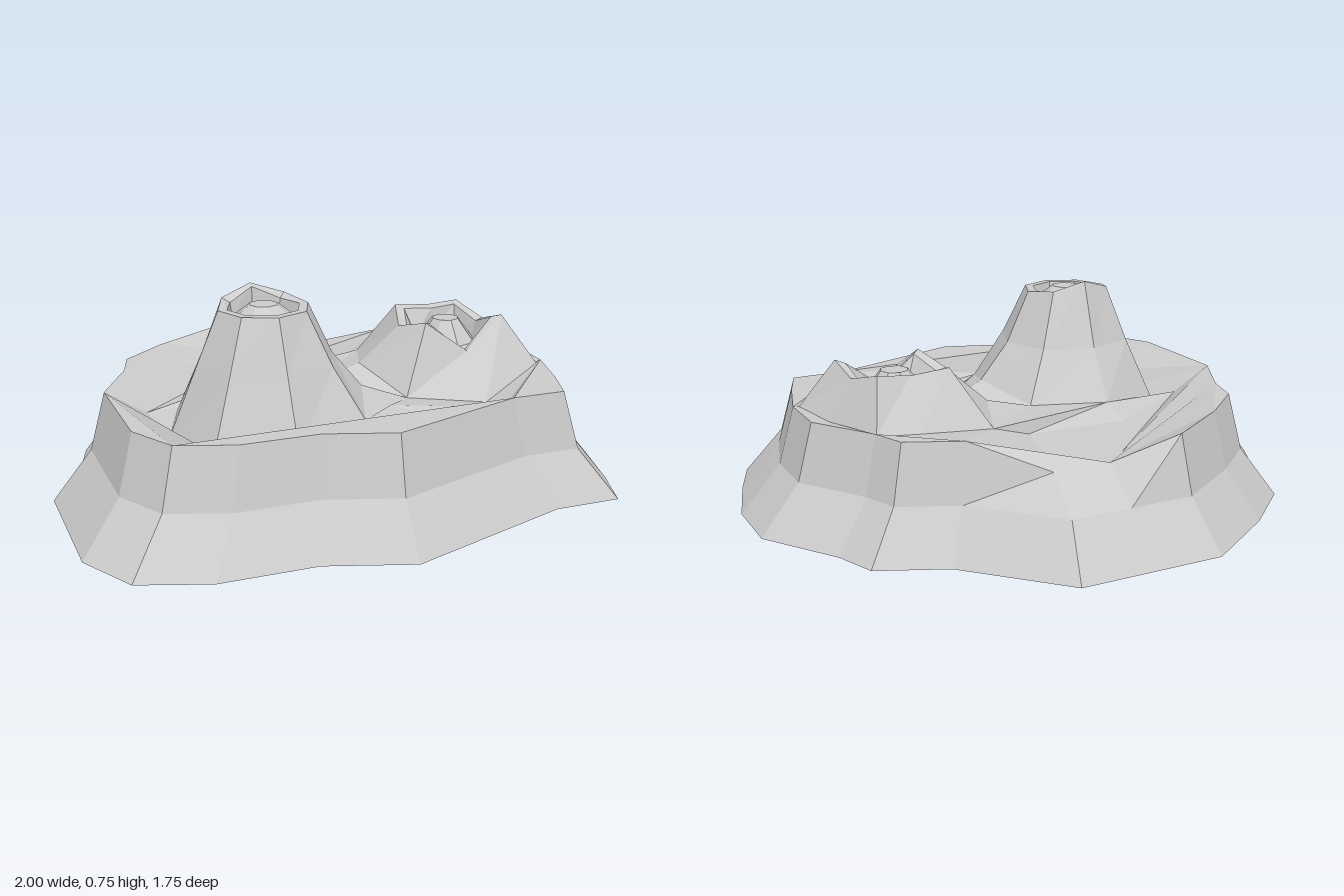
import * as THREE from 'three';

const material = new THREE.MeshStandardMaterial({ color: 0xcccccc, flatShading: true, side: THREE.DoubleSide });

function facetMesh(name, triangles) {
  const geometry = new THREE.BufferGeometry();
  geometry.setAttribute('position', new THREE.Float32BufferAttribute(triangles.flat(2), 3));
  geometry.computeVertexNormals();
  const mesh = new THREE.Mesh(geometry, material);
  mesh.name = name;
  return mesh;
}

// Joins closed rings of [x, y, z] points, optionally closing the last one with a fan
function loft(rings, centre) {
  const triangles = [];
  for (let r = 0; r < rings.length; r++) {
    const a = rings[r], b = rings[r + 1];
    a.forEach((p, i) => {
      const j = (i + 1) % a.length;
      if (b) triangles.push([p, b[i], a[j]], [a[j], b[i], b[j]]);
      else if (centre) triangles.push([p, centre, a[j]]);
    });
  }
  return triangles;
}

// Fills an outline around holes, every triangle facing up
function fill(outline, holes = []) {
  const flat = (ring) => ring.map(([x, , z]) => new THREE.Vector2(x, z));
  const points = [outline, ...holes].flat();
  return THREE.ShapeUtils.triangulateShape(flat(outline), holes.map(flat)).map((t) => {
    const [a, b, c] = t.map((i) => points[i]);
    const up = (b[2] - a[2]) * (c[0] - a[0]) - (b[0] - a[0]) * (c[2] - a[2]);
    return up > 0 ? [a, b, c] : [a, c, b];
  });
}

const mix = (a, b, t) => a.map((v, i) => v + (b[i] - v) * t);
const octagon = ([cx, cz], radius, y) => Array.from({ length: 8 }, (_, i) => {
  const angle = (i * Math.PI) / 4;
  return [cx + radius * Math.sin(angle), y, cz - radius * Math.cos(angle)];
});

// Cone flank, crater wall and the small dome on the crater floor
function volcano(name, { centre, foot, waist, rim, lip, floor, dome }) {
  const rings = [foot, waist, rim, lip, octagon(centre, ...floor), octagon(centre, ...dome)];
  return facetMesh(name, loft(rings.filter(Boolean), [centre[0], dome[1], centre[1]]));
}

export function createModel() {
  const group = new THREE.Group();
  group.name = 'volcanicIsland';

  // Shoreline, clockwise from the back
  const shore = [
    [-0.29, -0.88], [-0.02, -0.88], [0.235, -0.88], [0.53, -0.57], [0.765, -0.465],
    [0.82, -0.32], [1, -0.05], [1, 0.2], [0.925, 0.46], [0.855, 0.65], [0.61, 0.65],
    [-0.015, 0.87], [-0.31, 0.77], [-0.65, 0.77], [-0.89, 0.685], [-1, 0.475],
    [-1, -0.05], [-0.85, -0.33], [-0.8, -0.5], [-0.59, -0.685],
  ];
  const contour = (scale, y) => shore.map(([x, z]) => [x * scale, y, z * scale]);
  const top = contour(0.805, 0.38);
  // Low saddle in the rim at the back
  top[1] = [-0.02, 0.285, -0.615];
  top[2] = [0.19, 0.285, -0.615];
  group.add(facetMesh('cliffs', loft([contour(1, 0), contour(0.86, 0.175), top])));

  // Tall volcano
  const tallCentre = [-0.295, 0.19];
  const tallFoot = [
    [-0.285, 0.33, -0.15], [-0.015, 0.33, -0.06], [0.065, 0.375, 0.19], [-0.015, 0.33, 0.42],
    [-0.285, 0.28, 0.51], [-0.545, 0.28, 0.42], [-0.635, 0.27, 0.19], [-0.54, 0.29, -0.05],
  ];
  const tallRim = octagon(tallCentre, 0.16, 0.695);
  tallRim[0] = [-0.295, 0.745, 0.045];
  tallRim[1][1] = tallRim[7][1] = 0.71;
  const tallLip = octagon(tallCentre, 0.128, 0.695);
  tallLip[0][1] = 0.735;
  group.add(volcano('tallVolcano', {
    centre: tallCentre,
    foot: tallFoot,
    waist: tallFoot.map((p, i) => {
      const q = mix(p, tallRim[i], 0.56);
      q[1] = 0.51;
      return q;
    }),
    rim: tallRim,
    lip: tallLip,
    floor: [0.12, 0.65],
    dome: [0.05, 0.705],
  }));

  // Low volcano with a broken, jagged rim
  const lowCentre = [0.5, -0.035];
  const lowFoot = [
    [0.51, 0.37, -0.3], [0.65, 0.365, -0.245], [0.745, 0.375, -0.05], [0.78, 0.375, 0.17],
    [0.51, 0.29, 0.295], [0.25, 0.3, 0.175], [0.16, 0.375, -0.06], [0.25, 0.35, -0.3],
  ];
  const lowRim = [
    [0.5, 0.54, -0.185], [0.615, 0.55, -0.175], [0.655, 0.51, -0.03], [0.67, 0.55, 0.09],
    [0.505, 0.44, 0.14], [0.355, 0.55, 0.1], [0.31, 0.51, -0.04], [0.36, 0.55, -0.185],
  ];
  group.add(volcano('lowVolcano', {
    centre: lowCentre,
    foot: lowFoot,
    rim: lowRim,
    lip: lowRim.map(([x, y, z]) => [mix([x], [0.5], 0.18)[0], y - 0.01, mix([z], [-0.035], 0.18)[0]]),
    floor: [0.115, 0.44],
    dome: [0.05, 0.525],
  }));

  // Ground sloping from the rim to two valley floors, open beneath the cones
  const backValley = [
    [-0.66, 0.29, -0.03], [-0.1, 0.285, -0.55], [0.15, 0.285, -0.54], [0.1, 0.3, -0.27], [-0.29, 0.29, -0.26],
  ];
  const frontValley = [[0.14, 0.32, 0.28], [0.25, 0.3, 0.4], [0.51, 0.31, 0.42], [0.2, 0.3, 0.48], [0.05, 0.3, 0.48]];
  group.add(facetMesh('ground', [
    ...fill(top, [tallFoot, lowFoot, backValley, frontValley]),
    ...fill(backValley),
    ...fill(frontValley),
  ]));
  return group;
}
